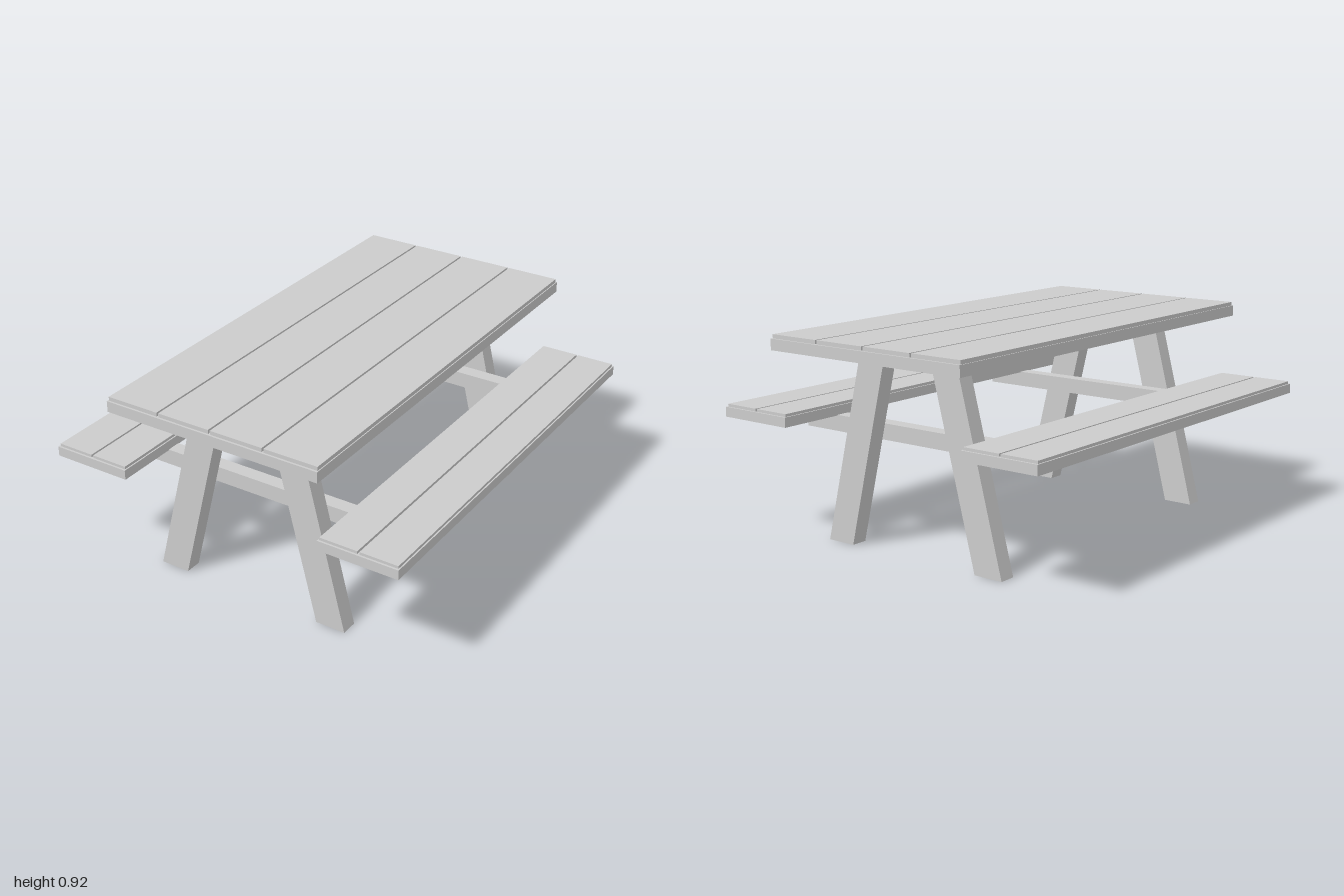
import * as THREE from 'three';

const material = new THREE.MeshStandardMaterial({ color: 0xcccccc, flatShading: true });

// Box given by its min/max extents on each axis
function block(name, [x0, x1], [y0, y1], [z0, z1]) {
  const mesh = new THREE.Mesh(new THREE.BoxGeometry(x1 - x0, y1 - y0, z1 - z0), material);
  mesh.name = name;
  mesh.position.set((x0 + x1) / 2, (y0 + y1) / 2, (z0 + z1) / 2);
  return mesh;
}

// Solid slab with a row of slightly shorter planks on top
function plankedBoard(name, [x0, x1], [y0, yMid, y1], halfLength, count, edge) {
  const board = new THREE.Group();
  board.name = name;
  board.add(block(name + 'Slab', [x0, x1], [y0, yMid], [-halfLength, halfLength]));
  const gap = 0.009;
  const width = (x1 - x0 - 2 * edge - gap * (count - 1)) / count;
  const end = halfLength - 0.009;
  for (let i = 0; i < count; i++) {
    const x = x0 + edge + i * (width + gap);
    board.add(block(name + 'Plank', [x, x + width], [yMid, y1], [-end, end]));
  }
  return board;
}

// Slanted leg: a parallelogram cut flat at floor and table top
function leg(name, [b0, b1], [t0, t1], height, [z0, z1]) {
  const shape = new THREE.Shape([
    new THREE.Vector2(b0, 0), new THREE.Vector2(b1, 0),
    new THREE.Vector2(t1, height), new THREE.Vector2(t0, height),
  ]);
  const geometry = new THREE.ExtrudeGeometry(shape, { depth: z1 - z0, bevelEnabled: false });
  const mesh = new THREE.Mesh(geometry, material);
  mesh.name = name;
  mesh.position.z = z0;
  return mesh;
}

export function createModel() {
  const table = new THREE.Group();
  table.name = 'picnicTable';

  // Table top and the two benches
  table.add(plankedBoard('tableTop', [-0.5, 0.498], [0.855, 0.903, 0.92], 1, 4, 0.004));
  table.add(plankedBoard('rightBench', [-0.83, -0.47], [0.53, 0.573, 0.585], 0.965, 2, 0.006));
  table.add(plankedBoard('leftBench', [0.468, 0.828], [0.53, 0.573, 0.585], 0.965, 2, 0.006));

  // Front and back frames: two splayed legs and a crossbar on the inner side
  const frames = [
    { name: 'front', legZ: [0.684, 0.759], barZ: [0.62, 0.684] },
    { name: 'back', legZ: [-0.735, -0.661], barZ: [-0.661, -0.594] },
  ];
  for (const { name, legZ, barZ } of frames) {
    const frame = new THREE.Group();
    frame.name = name + 'Frame';
    frame.add(
      leg(name + 'RightLeg', [-0.482, -0.345], [-0.258, -0.122], 0.856, legZ),
      leg(name + 'LeftLeg', [0.321, 0.458], [0.114, 0.25], 0.856, legZ),
      block(name + 'Crossbar', [-0.652, 0.645], [0.463, 0.533], barZ),
    );
    table.add(frame);
  }
  return table;
}
